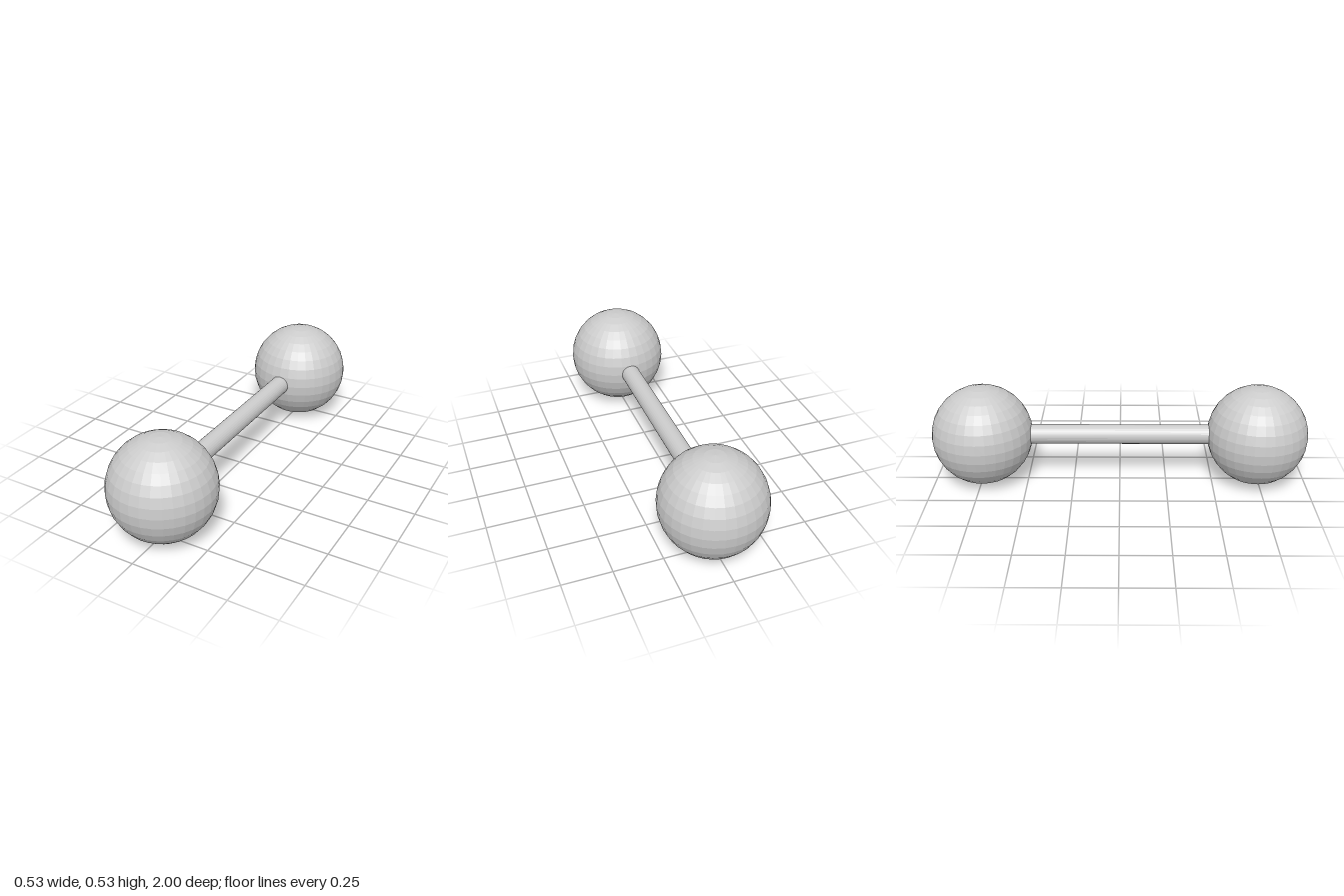
import * as THREE from 'three';

const RADIUS = 0.267;       // ball radius
const OFFSET = 1 - RADIUS;  // ball centre distance along z

export function createModel() {
  const group = new THREE.Group();
  group.name = 'dumbbell';
  const material = new THREE.MeshStandardMaterial({ color: 0xcccccc, flatShading: true });

  // Faceted ball at each end
  const ballGeometry = new THREE.SphereGeometry(RADIUS, 32, 16);
  for (const [name, side] of [['frontBall', 1], ['backBall', -1]]) {
    const ball = new THREE.Mesh(ballGeometry, material);
    ball.name = name;
    ball.position.set(0, RADIUS, side * OFFSET);
    group.add(ball);
  }

  // Round bar joining the balls, its ends sunk inside them
  const bar = new THREE.Mesh(new THREE.CylinderGeometry(0.052, 0.052, 2 * OFFSET - 0.2, 32), material);
  bar.name = 'bar';
  bar.rotation.x = Math.PI / 2;
  bar.position.y = RADIUS;
  group.add(bar);

  return group;
}
